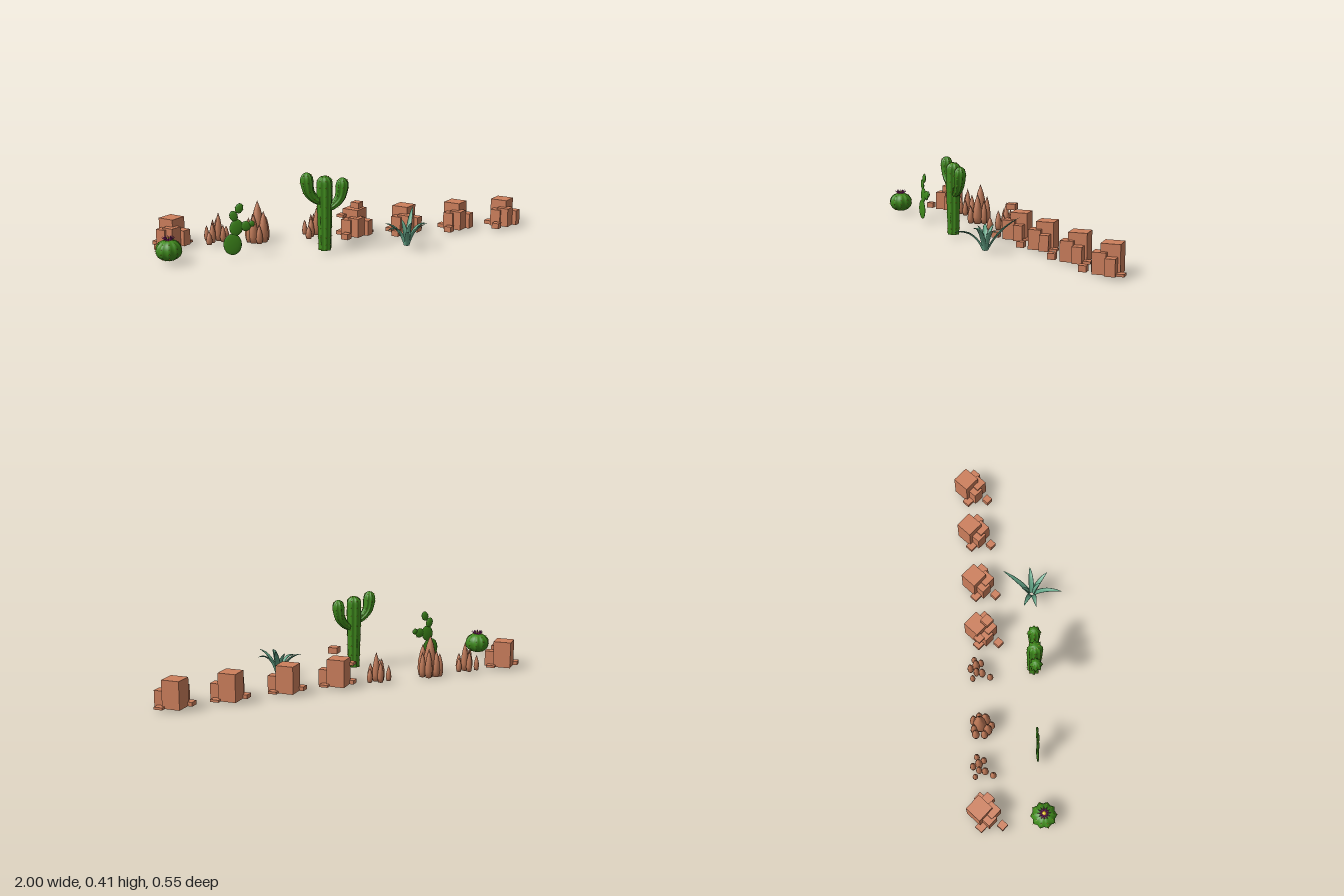
import * as THREE from 'three';
import { mergeGeometries } from 'three/addons/utils/BufferGeometryUtils.js';

const V = (x, y, z) => new THREE.Vector3(x, y, z);
const mat = (color, extra = {}) => new THREE.MeshStandardMaterial({ color, ...extra });
const ROCK = mat(0xcd7f5c, { flatShading: true });
const SPIRE = mat(0xc07a58);
const GREEN = mat(0x3f8a1c);
const AGAVE = mat(0x66a88a, { side: THREE.DoubleSide });
const PURPLE = mat(0xa8308f);
const YELLOW = mat(0xe6c52a);

function add(parent, name, geometry, material) {
  const mesh = new THREE.Mesh(geometry, material);
  mesh.name = name;
  parent.add(mesh);
  return mesh;
}

function group(parent, name, x, y, z) {
  const g = new THREE.Group();
  g.name = name;
  g.position.set(x, y, z);
  parent.add(g);
  return g;
}

// Closed skin over a list of equal rings of points
function skin(rings) {
  const n = rings[0].length, index = [];
  for (let i = 0; i < rings.length - 1; i++) {
    for (let j = 0; j < n; j++) {
      const k = (j + 1) % n, a = i * n + j, b = i * n + k;
      index.push(a, b, b + n, a, b + n, a + n);
    }
  }
  const g = new THREE.BufferGeometry().setFromPoints(rings.flat());
  g.setIndex(index);
  g.computeVertexNormals();
  return g;
}

// Rings of a ribbed body along a curve, packed closer at both ends
function ribbedRings(curve, radius, ribs, depth, steps) {
  const { normals, binormals } = curve.computeFrenetFrames(steps);
  return Array.from({ length: steps + 1 }, (_, i) => {
    const t = (1 - Math.cos(Math.PI * i / steps)) / 2;
    const c = curve.getPointAt(t), r = radius(t);
    const f = Math.round(t * steps);
    return Array.from({ length: ribs * 4 }, (_, j) => {
      const a = j / (ribs * 4) * Math.PI * 2;
      const q = r * (1 - depth * (1 - Math.cos(a * ribs)) / 2);
      return c.clone().addScaledVector(normals[f], q * Math.cos(a)).addScaledVector(binormals[f], q * Math.sin(a));
    });
  });
}

// Small cones pointing out from the crest of each rib
function spines(rings, every) {
  const parts = [];
  for (let i = every; i < rings.length - 1; i += every) {
    const ring = rings[i];
    const c = ring.reduce((s, p) => s.add(p), V(0, 0, 0)).divideScalar(ring.length);
    for (let j = 0; j < ring.length; j += 4) {
      const dir = ring[j].clone().sub(c).normalize();
      const g = new THREE.ConeGeometry(0.002, 0.006, 4);
      g.applyQuaternion(new THREE.Quaternion().setFromUnitVectors(V(0, 1, 0), dir));
      g.translate(ring[j].x + dir.x * 0.002, ring[j].y, ring[j].z + dir.z * 0.002);
      parts.push(g);
    }
  }
  return mergeGeometries(parts);
}

function ribbed(parent, name, curve, radius, ribs, depth, steps, every) {
  const rings = ribbedRings(curve, radius, ribs, depth, steps);
  add(parent, name, skin(rings), GREEN);
  add(parent, name + 'Spines', spines(rings, every), YELLOW);
}

// Stepped rock: square blocks turned 45 degrees [x, z, half diagonal, bottom, top]
function blockRock(parent, x, z, floating) {
  const g = group(parent, 'blockRock', x, 0, z);
  const blocks = [
    [0, 0, 0.064, 0.01, 0.147],
    [-0.005, 0.06, 0.045, 0.01, 0.11],
    [-0.042, 0.045, 0.04, 0.01, 0.1],
    [0.055, 0.042, 0.034, 0.01, 0.09],
    [0.072, 0.004, 0.031, 0.01, 0.022],
    [-0.069, 0.11, 0.027, 0.01, 0.04],
    [-0.071, 0.005, 0.03, 0.01, 0.03],
  ];
  if (floating) blocks.push([0, 0.055, 0.034, 0.162, 0.193], [-0.07, 0.01, 0.029, 0.105, 0.12]);
  for (const [bx, bz, d, y0, y1] of blocks) {
    const s = d * Math.SQRT2;
    const m = add(g, 'block', new THREE.BoxGeometry(s, y1 - y0, s), ROCK);
    m.position.set(bx, (y0 + y1) / 2, bz);
    m.rotation.y = Math.PI / 4;
  }
}

// Pointed rock spires [x, z, radius, height]
function spireRock(parent, x, z, base, list) {
  const g = group(parent, 'spireRock', x, base, z);
  const profile = [[0, 0], [0.75, 0], [1, 0.22], [0.88, 0.5], [0.5, 0.78], [0, 1]].map(p => new THREE.Vector2(...p));
  for (const [sx, sz, r, h] of list) {
    const m = add(g, 'spire', new THREE.LatheGeometry(profile, 10), SPIRE);
    m.scale.set(r, h, r);
    m.position.set(sx, 0, sz);
  }
}

// One tapering, arching leaf from the base to a tip
function leaf(parent, tip, lift) {
  const flat = V(tip.x, 0, tip.z), side = V(0, 1, 0).cross(flat).normalize();
  const curve = new THREE.QuadraticBezierCurve3(
    flat.clone().setLength(0.012), V(tip.x * 0.35, lift, tip.z * 0.35), tip);
  const rings = Array.from({ length: 13 }, (_, i) => {
    const t = i / 12, p = curve.getPoint(t), up = curve.getTangent(t).cross(side);
    const w = 0.017 * (0.65 + 1.3 * t) * Math.pow(1 - t, 0.85) * 1.05;
    return Array.from({ length: 10 }, (_, j) => {
      const a = j / 10 * Math.PI * 2, c = Math.cos(a);
      return p.clone().addScaledVector(side, w * c).addScaledVector(up, w * (0.22 * Math.sin(a) + 0.45 * c * c));
    });
  });
  add(parent, 'leaf', skin(rings), AGAVE);
}

export function createModel() {
  const model = new THREE.Group();
  model.name = 'desertSet';

  // Back row of rocks
  for (const [x, z, floating] of [[-0.897, -0.193], [0.058, -0.18, true], [0.33, -0.187], [0.625, -0.203], [0.897, -0.214]]) {
    blockRock(model, x, z, floating);
  }
  const smallSpires = [
    [0.01, -0.01, 0.02, 0.15], [-0.05, -0.03, 0.014, 0.08], [0.0, -0.04, 0.016, 0.11], [0.05, -0.02, 0.015, 0.075],
    [-0.025, 0.02, 0.018, 0.105], [0.03, 0.015, 0.016, 0.09], [-0.045, 0.06, 0.017, 0.07], [-0.02, -0.01, 0.016, 0.115]];
  spireRock(model, -0.67, -0.18, 0.01, smallSpires);
  spireRock(model, -0.155, -0.18, 0.01, smallSpires);
  spireRock(model, -0.46, -0.17, 0, [
    [0.002, -0.01, 0.035, 0.215], [-0.043, -0.032, 0.02, 0.12], [-0.025, 0.03, 0.023, 0.155], [0.028, 0.02, 0.026, 0.165],
    [0.046, -0.012, 0.018, 0.13], [0.025, -0.04, 0.02, 0.15], [-0.02, -0.038, 0.02, 0.14], [-0.045, 0.012, 0.019, 0.11],
    [0.002, 0.05, 0.018, 0.1]]);

  // Barrel cactus with a crown of petals
  const barrel = group(model, 'barrelCactus', -0.93, 0.012, 0.122);
  ribbed(barrel, 'barrelBody', new THREE.LineCurve3(V(0, 0, 0), V(0, 0.104, 0)),
    t => 0.066 * Math.pow(Math.max(0, 4 * t * (1 - t)), 0.45), 10, 0.14, 20, 3);
  const heart = add(barrel, 'flowerHeart', new THREE.SphereGeometry(0.012, 12, 8), YELLOW);
  heart.position.y = 0.104;
  for (const [count, tilt, length] of [[12, 1.0, 0.034], [10, 0.6, 0.03]]) {
    for (let i = 0; i < count; i++) {
      const petal = new THREE.ConeGeometry(0.006, length, 5);
      petal.translate(0, length / 2, 0);
      petal.rotateX(tilt);
      petal.translate(0, 0, 0.006);
      petal.rotateY(i / count * Math.PI * 2);
      add(barrel, 'petal', petal, PURPLE).position.y = 0.099;
    }
  }

  // Paddle cactus: thin pads [x, y, half width, half height, lean]
  const paddle = group(model, 'paddleCactus', -0.62, 0, 0.106);
  for (const [x, y, w, h, lean] of [
    [0, 0.068, 0.045, 0.054, 0.05], [0.02, 0.152, 0.033, 0.042, -0.2], [0.008, 0.21, 0.02, 0.028, 0.3],
    [0.036, 0.248, 0.02, 0.026, -0.3], [0.067, 0.157, 0.026, 0.025, -0.9], [0.096, 0.168, 0.016, 0.014, -1]]) {
    const pad = group(paddle, 'pad', x, y, 0);
    pad.rotation.z = lean;
    add(pad, 'padBody', new THREE.SphereGeometry(1, 20, 14), GREEN).scale.set(w, h, 0.007);
    for (let i = 0; i < 8; i++) {
      const a = i / 8 * Math.PI * 2;
      const dot = add(pad, 'padSpine', new THREE.ConeGeometry(0.002, 0.007, 4), YELLOW);
      dot.position.set(Math.cos(a) * w, Math.sin(a) * h, 0);
      dot.rotation.z = a - Math.PI / 2;
    }
  }

  // Tall cactus with two upturned arms
  const tall = group(model, 'tallCactus', -0.16, 0, 0.108);
  const capped = (r0, r1, cap) => t => (r0 + (r1 - r0) * Math.min(1, t * 1.4)) *
    (t > 1 - cap ? Math.sqrt(Math.max(0, 1 - ((t - 1 + cap) / cap) ** 2)) : 1);
  ribbed(tall, 'trunk', new THREE.LineCurve3(V(0, 0.013, 0), V(0, 0.39, 0)), capped(0.032, 0.04, 0.09), 8, 0.25, 32, 3);
  for (const [s, top] of [[-1, 0.41], [1, 0.377]]) {
    const curve = new THREE.CatmullRomCurve3([
      V(0.01 * s, top - 0.155, 0), V(0.045 * s, top - 0.137, 0), V(0.077 * s, top - 0.1, 0), V(0.088 * s, top - 0.05, 0), V(0.09 * s, top, 0)]);
    ribbed(tall, s < 0 ? 'rightArm' : 'leftArm', curve, capped(0.017, 0.033, 0.2), 8, 0.25, 24, 4);
  }

  // Agave: leaf tips [x, y, z] from its base, and how high each arches
  const agave = group(model, 'agave', 0.262, 0.012, 0.117);
  for (const [x, y, z, lift] of [
    [0.073, 0.162, -0.15, 0.1], [-0.107, 0.108, -0.047, 0.1], [-0.107, 0.085, 0.018, 0.12], [-0.027, 0.095, 0.155, 0.11],
    [0.113, 0.105, -0.007, 0.12], [0.073, 0.125, 0.083, 0.1], [-0.015, 0.122, -0.055, 0.09], [0.01, 0.128, 0.045, 0.09]]) {
    leaf(agave, V(x, y, z), lift);
  }
  return model;
}
